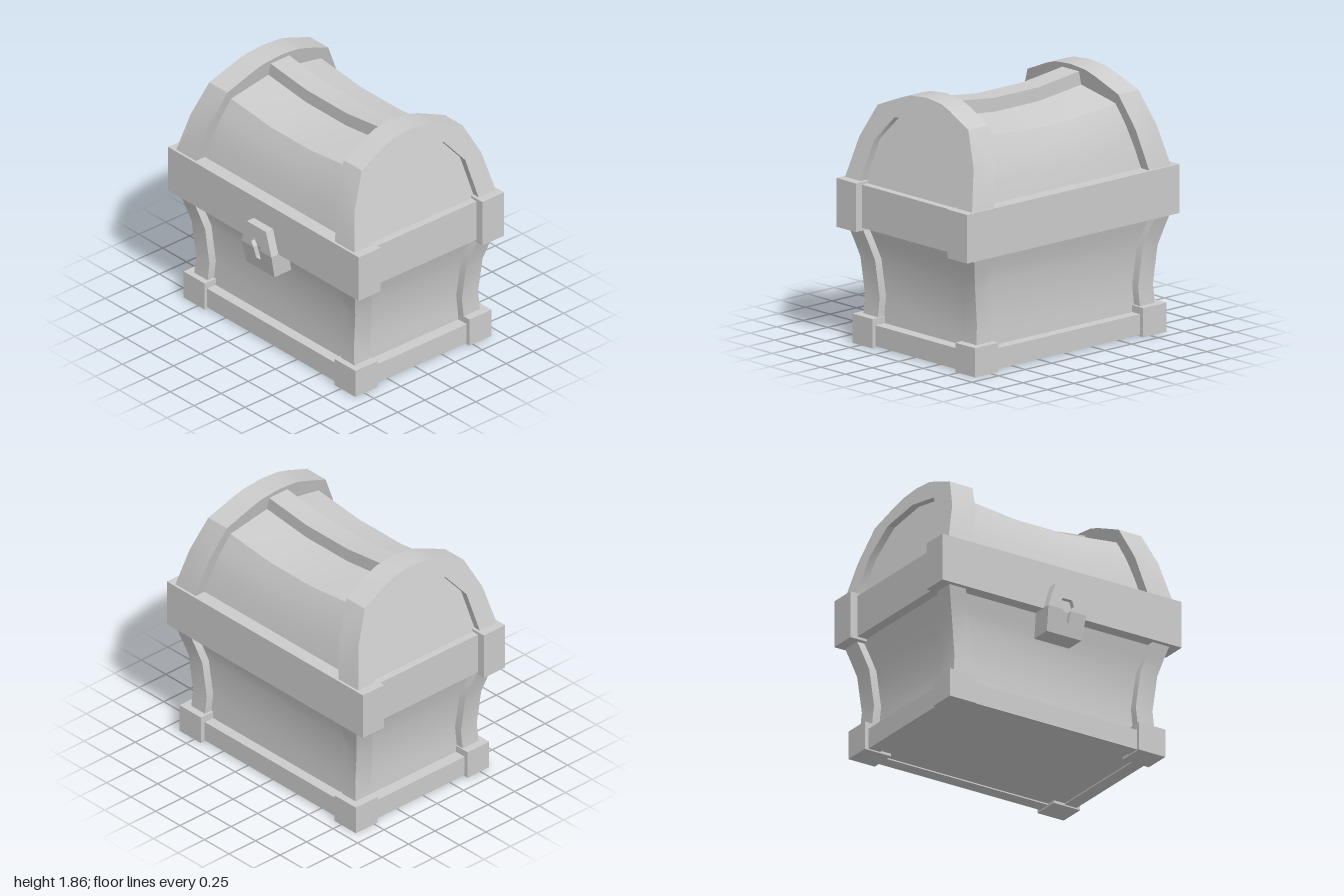
import * as THREE from 'three';
import { toCreasedNormals } from 'three/addons/utils/BufferGeometryUtils.js';

const CZ = -0.03; // depth centre of the lid and rim, the lock sticks out in front
const BZ = -0.04; // depth centre of the body and base
const material = new THREE.MeshStandardMaterial({ color: 0xcccccc });

function add(group, name, geometry) {
  const mesh = new THREE.Mesh(geometry, material);
  mesh.name = name;
  group.add(mesh);
}

// Box from its limits
function box(x0, x1, y0, y1, z0, z1) {
  return new THREE.BoxGeometry(x1 - x0, y1 - y0, z1 - z0)
    .translate((x0 + x1) / 2, (y0 + y1) / 2, (z0 + z1) / 2);
}

// Closed solid skinned over a row of equal-length loops of [x, y, z]
function loft(loops) {
  const n = loops[0].length;
  const points = loops.flat().map((p) => new THREE.Vector3(...p));
  const tris = [];
  for (let i = 0; i < loops.length - 1; i++) {
    for (let j = 0; j < n; j++) {
      const a = i * n + j, b = i * n + (j + 1) % n;
      tris.push([a, b, b + n], [a, b + n, a + n]);
    }
  }
  [0, loops.length - 1].forEach((row, end) => {
    const centre = new THREE.Vector3();
    for (let j = 0; j < n; j++) centre.addScaledVector(points[row * n + j], 1 / n);
    const c = points.push(centre) - 1;
    for (let j = 0; j < n; j++) {
      const a = row * n + j, b = row * n + (j + 1) % n;
      tris.push(end ? [a, b, c] : [b, a, c]);
    }
  });
  // Turn the faces outward whichever way the loops run
  const cross = new THREE.Vector3();
  const volume = tris.reduce((sum, [a, b, c]) =>
    sum + points[a].dot(cross.crossVectors(points[b], points[c])), 0);
  if (volume < 0) tris.forEach((t) => t.reverse());
  const geometry = new THREE.BufferGeometry().setFromPoints(points);
  geometry.setIndex(tris.flat());
  return toCreasedNormals(geometry, 0.5);
}

// Horizontal rectangle as a loop
const rect = (x0, x1, y, z0, z1) => [[x0, y, z0], [x1, y, z0], [x1, y, z1], [x0, y, z1]];

// Half profile of [z, y] mirrored across the depth centre
function arc(half) {
  const back = half.filter(([z]) => z > 0).reverse().map(([z, y]) => [-z, y]);
  return [...half, ...back].map(([z, y]) => [z + CZ, y]);
}

// Lock plate slice, its lower part leaning back toward the body
function plate(points, z0, z1) {
  const shape = new THREE.Shape(points.map((p) => new THREE.Vector2(...p)));
  const geometry = new THREE.ExtrudeGeometry(shape, { depth: z1 - z0, bevelEnabled: false });
  geometry.translate(0, 0, z0);
  const pos = geometry.attributes.position;
  for (let i = 0; i < pos.count; i++) {
    pos.setZ(i, pos.getZ(i) - Math.max(0, 0.84 - pos.getY(i)) * 0.22);
  }
  geometry.computeVertexNormals();
  return geometry;
}

export function createModel() {
  const chest = new THREE.Group();
  chest.name = 'treasureChest';

  // Base: bottom panel framed by four rails
  add(chest, 'bottomPanel', box(-0.84, 0.84, 0.02, 0.15, BZ - 0.56, BZ + 0.56));
  for (const s of [-1, 1]) {
    add(chest, 'longBaseRail', box(-0.87, 0.87, 0.01, 0.16, BZ + s * 0.55 - 0.05, BZ + s * 0.55 + 0.05));
    add(chest, 'sideBaseRail', box(s * 0.82 - 0.05, s * 0.82 + 0.05, 0.01, 0.16, BZ - 0.5, BZ + 0.5));
  }

  // Flared body
  const flare = [[0.1, 0.845, 0.585], [0.2, 0.84, 0.58], [0.35, 0.828, 0.573],
    [0.62, 0.858, 0.587], [0.75, 0.893, 0.62], [0.87, 0.928, 0.653]];
  add(chest, 'body', loft(flare.map(([y, x, z]) =>
    rect(-x + 0.06, x - 0.06, y, BZ - z + 0.06, BZ + z - 0.06))));

  // Corner feet and curved corner posts
  for (const sx of [-1, 1]) {
    for (const sz of [-1, 1]) {
      const foot = box(-0.11, 0.11, 0, 0.21, -0.102, 0.102);
      add(chest, 'cornerFoot', foot.translate(sx * 0.79, 0, BZ - 0.005 + sz * 0.527));
      add(chest, 'cornerPost', loft(flare.map(([y, x, z]) =>
        rect(sx * (x - 0.14), sx * x, y, BZ + sz * (z - 0.15), BZ + sz * z))));
    }
  }

  // Rim: recessed core with full-width beams front and back
  add(chest, 'rimCore', box(-0.94, 0.94, 0.86, 1.17, CZ - 0.6, CZ + 0.6));
  add(chest, 'frontRim', box(-1, 1, 0.84, 1.19, 0.44, 0.64));
  add(chest, 'backRim', box(-1, 1, 0.84, 1.19, -0.7, -0.5));

  // Sagging lid with leaning ends and a raised ridge plank along the top
  const lidProfile = arc([[0.575, 1.16], [0.533, 1.33], [0.48, 1.48], [0.415, 1.6],
    [0.085, 1.67], [0.085, 1.77]]);
  const lidLoop = (side, end) => lidProfile.map(([z, y]) => {
    if (!end) return [side * 0.21, y, z];
    const lift = 0.06 * Math.min(1, (y - 1.16) / 0.44);
    return [side * (0.88 - 0.255 * (y + lift - 1.19)), y + lift, z];
  });
  add(chest, 'lid', loft([lidLoop(-1, true), lidLoop(-1, false), lidLoop(1, false), lidLoop(1, true)]));

  // Leaning arches at both ends of the lid
  const outer = arc([[0.655, 1.17], [0.585, 1.48], [0.465, 1.72], [0.25, 1.81], [0.16, 1.84], [0, 1.855]]);
  const inner = arc([[0.497, 1.17], [0.435, 1.48], [0.28, 1.665], [0.17, 1.687], [0.1, 1.7], [0, 1.72]]);
  const outX = (y) => 0.935 - 0.255 * (y - 1.19);
  const inX = (y) => 0.73 - 0.225 * (y - 1.19);
  for (const sx of [-1, 1]) {
    add(chest, 'lidArch', loft(outer.map(([zo, yo], i) => {
      const [zi, yi] = inner[i];
      return [[sx * outX(yo), yo, zo], [sx * inX(yo), yo, zo],
        [sx * inX(yi), yi, zi], [sx * outX(yi), yi, zi]];
    })));
  }

  // Lock: backing and a face plate split around the keyhole
  const lock = new THREE.Group();
  lock.name = 'lock';
  chest.add(lock);
  const top = [[0.158, 0.84], [0.1, 1.02], [-0.1, 1.02], [-0.158, 0.84]];
  const bottom = [[-0.158, 0.84], [-0.145, 0.66], [0.145, 0.66], [0.158, 0.84]];
  add(lock, 'lockBacking', plate(top, 0.55, 0.67));
  add(lock, 'lockBacking', plate(bottom, 0.55, 0.67));
  add(lock, 'lockPlateTop', plate([...top, [-0.03, 0.84], [-0.055, 0.88], [-0.04, 0.925],
    [0.04, 0.925], [0.055, 0.88], [0.03, 0.84]], 0.67, 0.705));
  add(lock, 'lockPlateBottom', plate([...bottom, [0.03, 0.84], [0.023, 0.755],
    [-0.023, 0.755], [-0.03, 0.84]], 0.67, 0.705));

  return chest;
}
